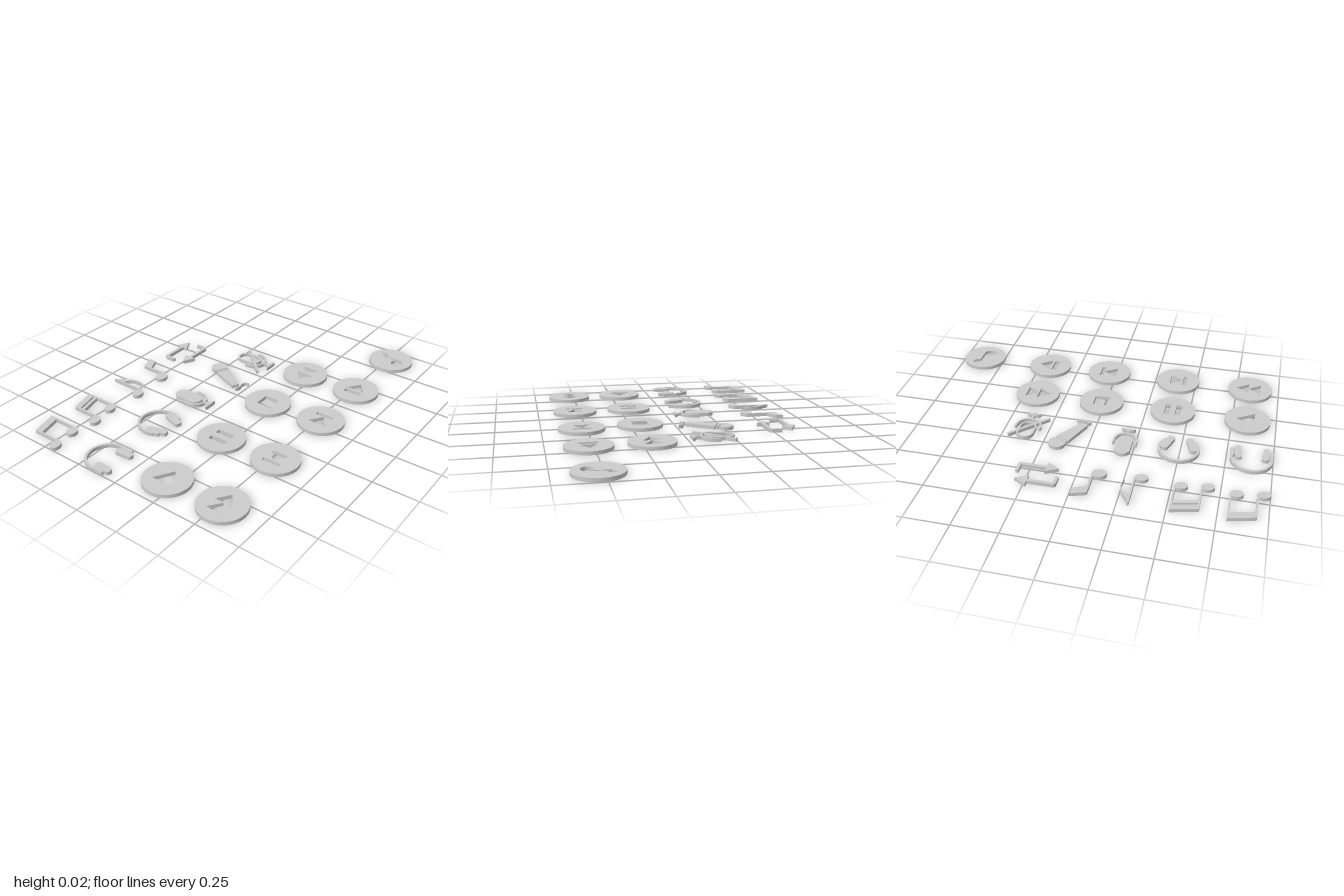
import * as THREE from 'three';
import { toCreasedNormals } from 'three/addons/utils/BufferGeometryUtils.js';

const material = new THREE.MeshStandardMaterial({ color: 0xcccccc });
const THICK = 2; // icons are drawn flat in hundredths of a unit

// --- 2D shape helpers ---
const poly = (...pts) => new THREE.Shape(pts.map(p => new THREE.Vector2(p[0], p[1])));
const rect = (x0, x1, y0, y1) => poly([x0, y0], [x1, y0], [x1, y1], [x0, y1]);
const ellipse = (rx, ry = rx) => new THREE.Shape().absellipse(0, 0, rx, ry, 0, Math.PI * 2);
const triangle = (base, tip, h) => poly([base, -h], [tip, 0], [base, h]);

function capsule(w, h, r = w / 2) {
  const x = w / 2 - r, y = h / 2 - r, s = new THREE.Shape();
  s.absarc(x, y, r, 0, Math.PI / 2);
  s.absarc(-x, y, r, Math.PI / 2, Math.PI);
  s.absarc(-x, -y, r, Math.PI, Math.PI * 1.5);
  s.absarc(x, -y, r, Math.PI * 1.5, Math.PI * 2);
  return s;
}

// Band of constant width along a path
function stroke(path, width) {
  const pts = path.getPoints(20).filter((p, i, a) => i === 0 || p.distanceTo(a[i - 1]) > 1e-4);
  const left = [], right = [];
  pts.forEach((p, i) => {
    const t = pts[Math.min(i + 1, pts.length - 1)].clone().sub(pts[Math.max(i - 1, 0)]).normalize();
    const n = new THREE.Vector2(-t.y, t.x).multiplyScalar(width / 2);
    left.push(p.clone().add(n));
    right.unshift(p.clone().sub(n));
  });
  return new THREE.Shape([...left, ...right]);
}

// --- 3D helpers ---
function add(parent, name, shape, x = 0, y = 0, turn = 0) {
  const geo = new THREE.ExtrudeGeometry(shape, { depth: THICK, bevelEnabled: false, curveSegments: 24 });
  const mesh = new THREE.Mesh(toCreasedNormals(geo, 0.5), material);
  mesh.name = name;
  mesh.position.set(x, y, 0);
  mesh.rotation.z = turn;
  parent.add(mesh);
}

function icon(root, name, x, z) {
  const g = new THREE.Group();
  g.name = name;
  g.position.set(x, 0, z);
  g.rotation.x = -Math.PI / 2;
  g.scale.setScalar(0.01);
  root.add(g);
  return g;
}

function button(root, name, x, z, holes) {
  const disc = ellipse(13);
  disc.holes.push(...holes);
  add(icon(root, name, x, z), 'disc', disc);
}

const noteHead = (g, x, y, rx = 3.6, ry = 2.7) => add(g, 'noteHead', ellipse(rx, ry), x, y, 0.25);

function beamedNote(root, name, x, doubled) {
  const g = icon(root, name, x, -0.551);
  const low = doubled ? 4.8 : 4;
  add(g, 'stemsAndBeam', poly([-4.3, -9.9], [-4.3, 8], [10.3, 11.8], [10.3, -7.8],
    [9.4, -7.8], [9.4, low + 3.2], [-3.2, low], [-3.2, -9.9]));
  if (doubled) add(g, 'lowerBeam', poly([-3.3, 1.9], [9.5, 5.1], [9.5, 7], [-3.3, 3.8]));
  noteHead(g, -6.7, -9.9);
  noteHead(g, 6.9, -7.8);
}

function headphones(root, name, x, sweep, pad) {
  const g = icon(root, name, x, -0.171);
  const band = new THREE.Path().absarc(0, -0.9, 10.8, -sweep, Math.PI + sweep);
  add(g, 'headband', stroke(band, 1.4));
  for (const s of [-1, 1]) {
    add(g, 'earPad', capsule(pad.w, pad.h, 1.5), s * pad.x, pad.y, s * pad.tilt);
    add(g, 'earCup', capsule(2, pad.cup, 0.9), s * pad.cupX, pad.y + 0.4, s * pad.tilt);
  }
}

// U-shaped holder, foot stem and base of a studio microphone
function micStand(g, r, top, bottom, foot) {
  const u = new THREE.Path();
  u.moveTo(-r, top);
  u.lineTo(-r, bottom + r);
  u.absarc(0, bottom + r, r, Math.PI, Math.PI * 2);
  u.lineTo(r, top);
  add(g, 'cradle', stroke(u, 1.2));
  add(g, 'stem', rect(-0.7, 0.7, foot + 0.5, bottom));
  const base = new THREE.Shape();
  base.moveTo(-4.1, foot);
  base.lineTo(4.1, foot);
  base.quadraticCurveTo(3.4, foot + 1.6, 1.2, foot + 1.7);
  base.lineTo(-1.2, foot + 1.7);
  base.quadraticCurveTo(-3.4, foot + 1.6, -4.1, foot);
  add(g, 'base', base);
}

export function createModel() {
  const root = new THREE.Group();
  root.name = 'musicIcons';

  // Round buttons with cut-out symbols
  button(root, 'playButton', -0.837, 0.198, [triangle(-4, 6.4, 6.5)]);
  button(root, 'pauseButton', -0.406, 0.198, [rect(-4.8, -1.6, -5, 5), rect(1.6, 4.8, -5, 5)]);
  button(root, 'stopButton', 0.021, 0.198, [rect(-4.4, 4.4, -4.4, 4.4)]);
  button(root, 'rewindButton', 0.414, 0.198, [triangle(-0.6, -8, 5), triangle(6.5, -0.5, 5)]);
  button(root, 'forwardButton', -0.829, 0.529, [triangle(-6.2, 0.7, 5), triangle(0.8, 7.8, 5)]);
  button(root, 'previousButton', -0.39, 0.529, [rect(-5, -3, -5, 5), triangle(4.6, -2.9, 5)]);
  button(root, 'nextButton', 0.045, 0.529, [triangle(-4.5, 3, 5), rect(3.1, 5.3, -5, 5)]);
  button(root, 'stepButton', 0.43, 0.529, [rect(-4.9, -1.8, -5, 5), triangle(-0.3, 6.5, 5)]);
  const noteHole = new THREE.Path();
  noteHole.moveTo(2, -5);
  [[2, 3], [5.4, 4.6], [5.4, 8], [0.9, 6]].forEach(p => noteHole.lineTo(...p));
  noteHole.absellipse(-1.9, -5, 3.9, 3.2, 0.77, Math.PI * 2);
  button(root, 'noteButton', 0.869, 0.529, [noteHole]);

  // Notes
  beamedNote(root, 'beamedNote', -0.901, false);
  beamedNote(root, 'doubleBeamedNote', -0.618, true);

  const eighth = icon(root, 'flaggedNote', -0.307, -0.551);
  noteHead(eighth, -3.4, -9.6);
  add(eighth, 'stem', rect(-0.5, 0.5, -9.6, 11.5));
  const flag = new THREE.Shape();
  flag.moveTo(0.2, 11.5);
  flag.bezierCurveTo(1.5, 6.5, 8.8, 3.5, 5, -5.9);
  flag.bezierCurveTo(6.4, -0.5, 4.5, 4, 0.2, 4.9);
  add(eighth, 'flag', flag);

  const single = icon(root, 'shortNote', -0.083, -0.551);
  noteHead(single, -3.6, -8, 4, 3.2);
  add(single, 'stemAndFlag', poly([-0.9, -8], [-0.9, 8.3], [7.5, 11.2], [7.5, 6.6], [0.3, 3.6], [0.3, -8]));

  // Two arrows chasing each other
  const repeat = icon(root, 'repeatArrows', 0.198, -0.545);
  const arrow = new THREE.Shape();
  arrow.moveTo(-11.9, 0.2);
  arrow.lineTo(-11.9, 5.2);
  arrow.quadraticCurveTo(-11.9, 7.2, -9.9, 7.2);
  [[3.5, 7.2], [3.5, 9.9], [10.4, 6.2], [3.5, 2.5], [3.5, 5.4], [-10.2, 5.4], [-10.2, 0.2]]
    .forEach(p => arrow.lineTo(...p));
  add(repeat, 'upperArrow', arrow);
  add(repeat, 'lowerArrow', arrow, 0, 0, Math.PI);

  // Headphones
  headphones(root, 'uprightHeadphones', -0.885, 0.2,
    { x: 7.5, y: -5.6, w: 3.7, h: 10.4, tilt: 0.08, cupX: 10.5, cup: 6.4 });
  headphones(root, 'tiltedHeadphones', -0.492, 0.4,
    { x: 6.7, y: -5.4, w: 4.2, h: 12, tilt: -0.33, cupX: 9.3, cup: 7 });

  // Studio microphone
  const mic = icon(root, 'studioMicrophone', -0.193, -0.171);
  add(mic, 'capsule', capsule(8.6, 16.9), 0, 2.6);
  micStand(mic, 6.2, 1.6, -8, -12.6);

  // Hand-held microphone with cable
  const hand = icon(root, 'handMicrophone', 0.115, -0.16);
  const body = new THREE.Group();
  body.name = 'body';
  body.position.set(5.5, 9.8, 0);
  body.rotation.z = -0.5;
  hand.add(body);
  add(body, 'head', new THREE.Shape().absarc(0, 0, 4.7, -0.6, Math.PI + 0.6));
  add(body, 'collar', poly([-3.8, -3.2], [-4, -4.4], [4, -4.4], [3.8, -3.2]));
  add(body, 'handle', poly([-4, -5], [-2.1, -22.8], [2.1, -22.8], [4, -5]));
  const cable = new THREE.SplineCurve([[-6.6, -11], [-8.3, -12.5], [-6, -13.3], [-2.5, -12.6], [-0.4, -13.4], [0.2, -15.5]]
    .map(p => new THREE.Vector2(...p)));
  add(hand, 'cable', stroke(cable, 0.7));

  // Muted microphone: hollow capsule with a slash
  const muted = icon(root, 'mutedMicrophone', 0.37, -0.134);
  const shell = capsule(9.8, 15.2);
  shell.holes.push(capsule(7.6, 13));
  add(muted, 'capsule', shell, 0, 4.4);
  micStand(muted, 7, 2.7, -5.9, -11.3);
  add(muted, 'slash', rect(-13.4, 13.4, -0.75, 0.75), -0.6, 1.1, 0.79);

  return root;
}
